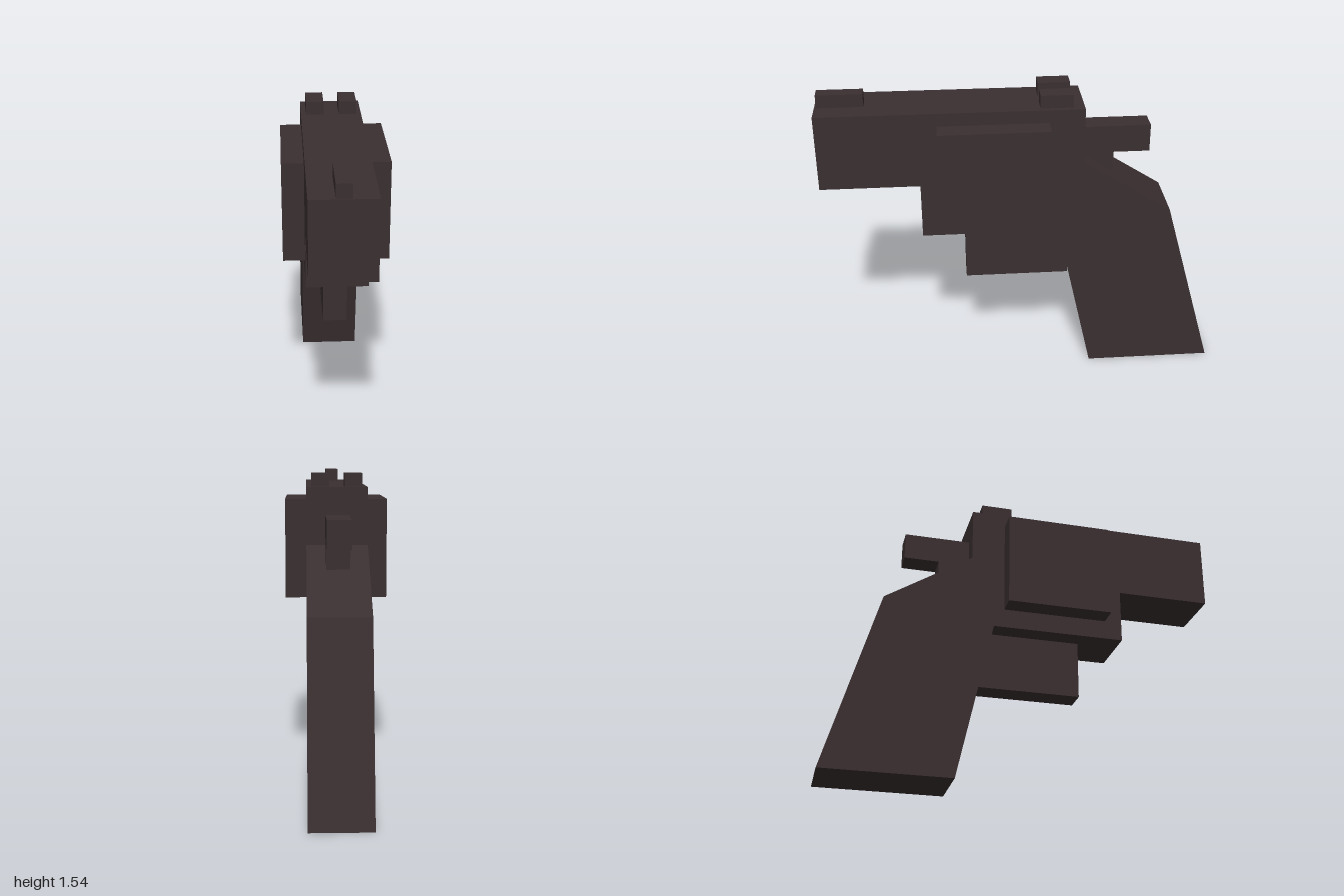
import * as THREE from 'three';

export function createModel() {
  const group = new THREE.Group();
  const darkMetal = new THREE.MeshStandardMaterial({ color: 0x3a2f30 });
  darkMetal.name = 'darkMetal';

  const add = (name, geometry) => {
    const mesh = new THREE.Mesh(geometry, darkMetal);
    mesh.name = name;
    group.add(mesh);
  };

  // Side profile given as [z, y] points, extruded evenly across x
  const slab = (name, width, points) => {
    const shape = new THREE.Shape(points.map(([z, y]) => new THREE.Vector2(z, y)));
    const geometry = new THREE.ExtrudeGeometry(shape, { depth: width, bevelEnabled: false });
    geometry.translate(0, 0, -width / 2).rotateY(-Math.PI / 2);
    add(name, geometry);
  };

  // Box given by its limits on each axis
  const box = (name, [x0, x1], [y0, y1], [z0, z1]) => {
    const geometry = new THREE.BoxGeometry(x1 - x0, y1 - y0, z1 - z0);
    geometry.translate((x0 + x1) / 2, (y0 + y1) / 2, (z0 + z1) / 2);
    add(name, geometry);
  };

  // Barrel and frame
  slab('barrelAndFrame', 0.3, [
    [1, 1.1], [1, 1.48], [-0.295, 1.48], [-0.295, 1.2],
    [-0.175, 0.82], [0.51, 0.82], [0.51, 1.1],
  ]);

  // Slanted grip
  slab('grip', 0.3, [
    [-0.295, 1.2], [-0.74, 0.915], [-1, 0], [-0.355, 0], [-0.175, 0.82],
  ]);

  // Wide block through the frame
  box('cylinderBlock', [-0.255, 0.255], [0.92, 1.415], [-0.122, 0.42]);

  // Trigger block below the frame
  box('triggerBlock', [-0.06, 0.06], [0.515, 0.815], [-0.235, 0.295]);

  // Stepped hammer behind the frame
  slab('hammer', 0.115, [
    [-0.28, 1.345], [-0.635, 1.345], [-0.635, 1.205],
    [-0.455, 1.205], [-0.455, 1.08], [-0.28, 1.18],
  ]);

  // Sights
  box('frontSight', [-0.035, 0.035], [1.47, 1.545], [0.765, 0.99]);
  box('rearSightLeft', [0.038, 0.125], [1.47, 1.545], [-0.24, -0.08]);
  box('rearSightRight', [-0.125, -0.038], [1.47, 1.545], [-0.24, -0.08]);

  return group;
}
